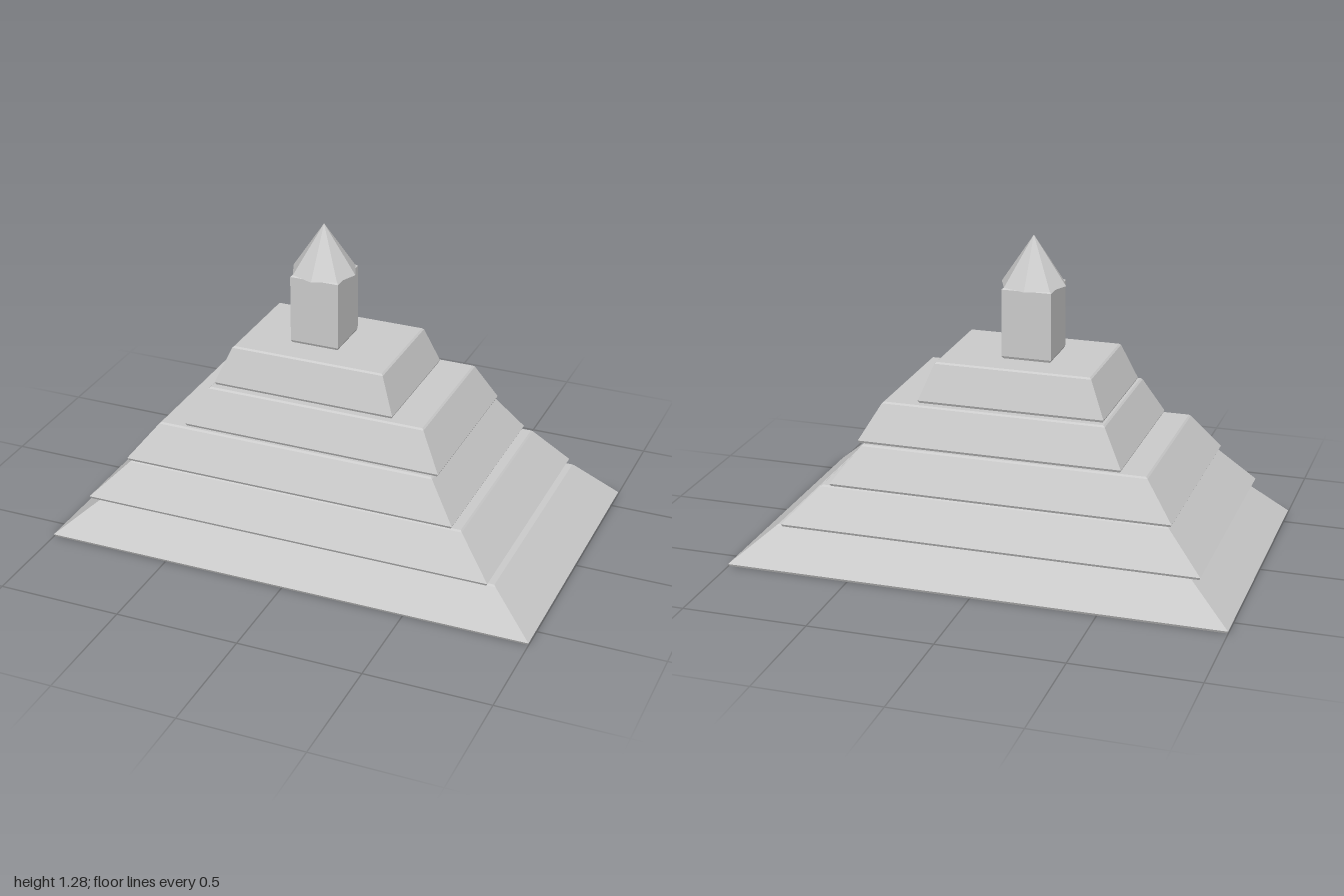
import * as THREE from 'three';

const material = new THREE.MeshStandardMaterial({ color: 0xcccccc, flatShading: true });

// Rectangular block lofted through rings of [y, xMin, xMax, zHalf], capped at both ends
function loftBlock(rings) {
  const positions = [];
  const corners = rings.map(([y, x0, x1, z]) => [[x0, y, z], [x1, y, z], [x1, y, -z], [x0, y, -z]]);
  const quad = (a, b, c, d) => positions.push(...a, ...b, ...c, ...a, ...c, ...d);
  for (let r = 0; r < corners.length - 1; r++) {
    for (let i = 0; i < 4; i++) {
      const j = (i + 1) % 4;
      quad(corners[r][i], corners[r][j], corners[r + 1][j], corners[r + 1][i]);
    }
  }
  const [a, b, c, d] = corners[0];
  quad(d, c, b, a);
  quad(...corners[corners.length - 1]);
  const geometry = new THREE.BufferGeometry();
  geometry.setAttribute('position', new THREE.Float32BufferAttribute(positions, 3));
  geometry.computeVertexNormals();
  return geometry;
}

// Sloping block with a narrow bevel around its bottom and top edges
function bevelledBlock(y0, y1, [x0, x1, z], [tx0, tx1, tz]) {
  const low = 0.005, high = 0.007;
  return loftBlock([
    [y0, x0 + low, x1 - low, z - low],
    [y0 + 0.01, x0, x1, z],
    [y1 - 0.006, tx0, tx1, tz],
    [y1, tx0 + high, tx1 - high, tz - high],
  ]);
}

export function createModel() {
  const group = new THREE.Group();
  const add = (name, geometry) => {
    const mesh = new THREE.Mesh(geometry, material);
    mesh.name = name;
    group.add(mesh);
    return mesh;
  };

  // Stepped tiers: bottom and top outlines as [xMin, xMax, zHalf]
  const tierHeight = 0.16;
  const tiers = [
    [[-1, 1, 0.6], [-0.835, 0.833, 0.5]],
    [[-0.873, 0.805, 0.516], [-0.73, 0.67, 0.43]],
    [[-0.74, 0.63, 0.432], [-0.627, 0.522, 0.361]],
    [[-0.52, 0.54, 0.347], [-0.44, 0.458, 0.291]],
    [[-0.427, 0.32, 0.262], [-0.366, 0.264, 0.222]],
  ];
  tiers.forEach(([bottom, top], i) => {
    add(`tier${i + 1}`, bevelledBlock(i * tierHeight, (i + 1) * tierHeight, bottom, top));
  });

  // Square tower on the top tier
  const towerX = -0.07;
  const towerPlan = [towerX - 0.1, towerX + 0.1, 0.1];
  add('tower', bevelledBlock(0.8, 1.085, towerPlan, towerPlan));

  // Eight-sided pointed roof
  const roofBase = 1.085, roofHeight = 0.195;
  const roof = add('roof', new THREE.ConeGeometry(0.13, roofHeight, 8));
  roof.position.set(towerX, roofBase + roofHeight / 2, 0);

  return group;
}
